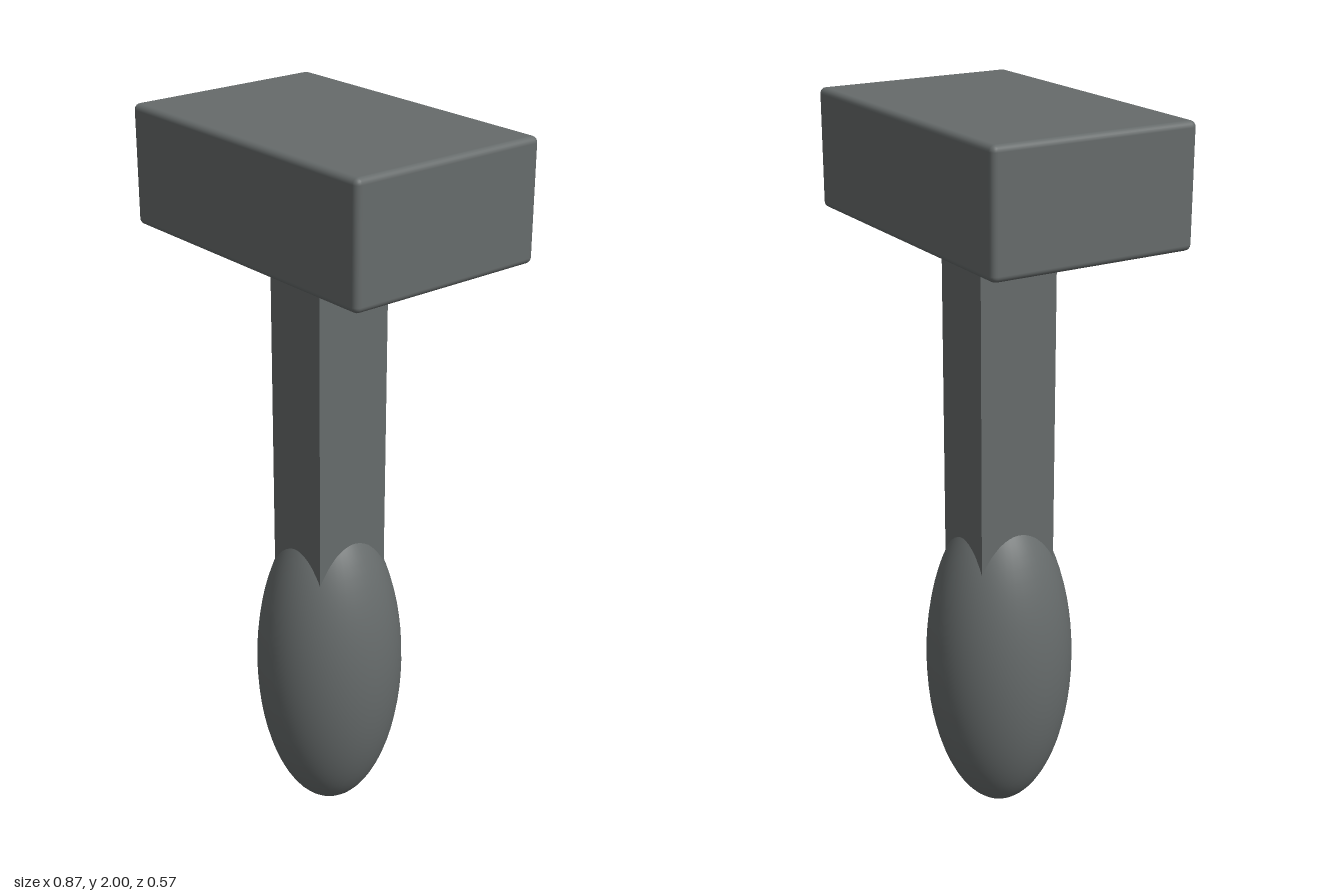
import * as THREE from 'three';
import { RoundedBoxGeometry } from 'three/addons/geometries/RoundedBoxGeometry.js';

export function createModel() {
  const model = new THREE.Group();
  model.name = 'hammer';
  const darkGrey = new THREE.MeshStandardMaterial({ color: 0x666b6b });
  darkGrey.name = 'darkGrey';

  const add = (name, geometry, y) => {
    const mesh = new THREE.Mesh(geometry, darkGrey);
    mesh.name = name;
    mesh.position.y = y;
    model.add(mesh);
    return mesh;
  };

  // Block head with softly rounded edges
  add('head', new RoundedBoxGeometry(0.874, 0.315, 0.566, 3, 0.016), 1.8425);

  // Square shaft, running from inside the grip into the head
  add('shaft', new THREE.BoxGeometry(0.196, 1.1, 0.226), 1.15);

  // Egg-shaped grip
  const grip = add('grip', new THREE.SphereGeometry(1, 48, 32), 0.46);
  grip.scale.set(0.204, 0.46, 0.204);

  return model;
}
